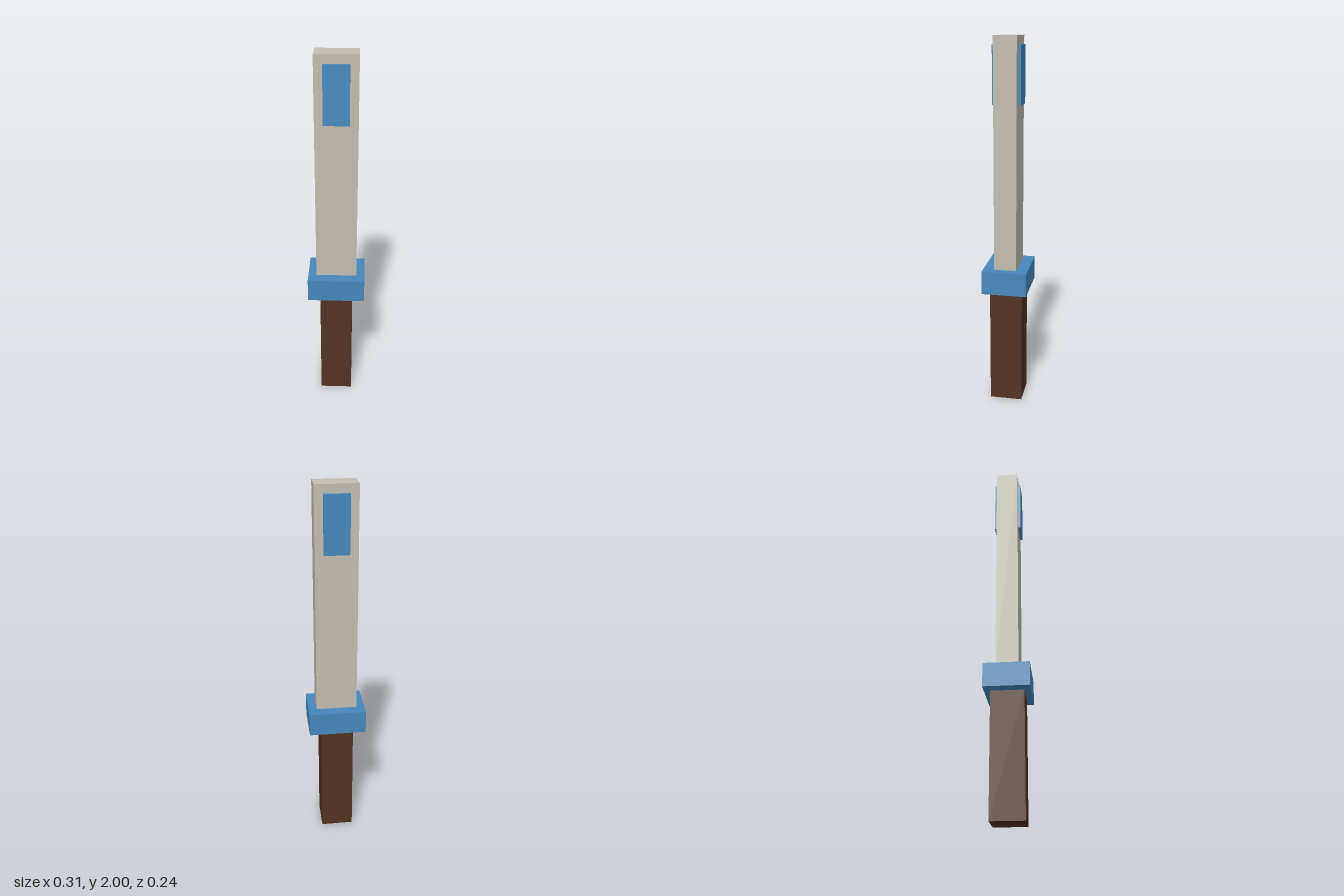
import * as THREE from 'three';

const material = (name, color) => {
  const m = new THREE.MeshStandardMaterial({ color });
  m.name = name;
  return m;
};

export function createModel() {
  const wood = material('dark wood', 0x533323);
  const blue = material('blue', 0x4688bc);
  const stone = material('pale grey', 0xc2bdb1);

  const model = new THREE.Group();
  model.name = 'sword';

  // Box spanning y0..y1, centred on x = 0 and on the given z
  const block = (name, width, depth, y0, y1, mat, z = 0) => {
    const mesh = new THREE.Mesh(new THREE.BoxGeometry(width, y1 - y0, depth), mat);
    mesh.name = name;
    mesh.position.set(0, (y0 + y1) / 2, z);
    model.add(mesh);
  };

  block('handle', 0.177, 0.177, 0, 0.654, wood);
  block('guard', 0.309, 0.242, 0.654, 0.782, blue);
  block('blade', 0.22, 0.12, 0.782, 2, stone);

  // Raised inlay on each broad face of the blade
  for (const [name, side] of [['frontInlay', 1], ['backInlay', -1]]) {
    block(name, 0.132, 0.015, 1.655, 1.955, blue, side * 0.0671);
  }
  return model;
}
